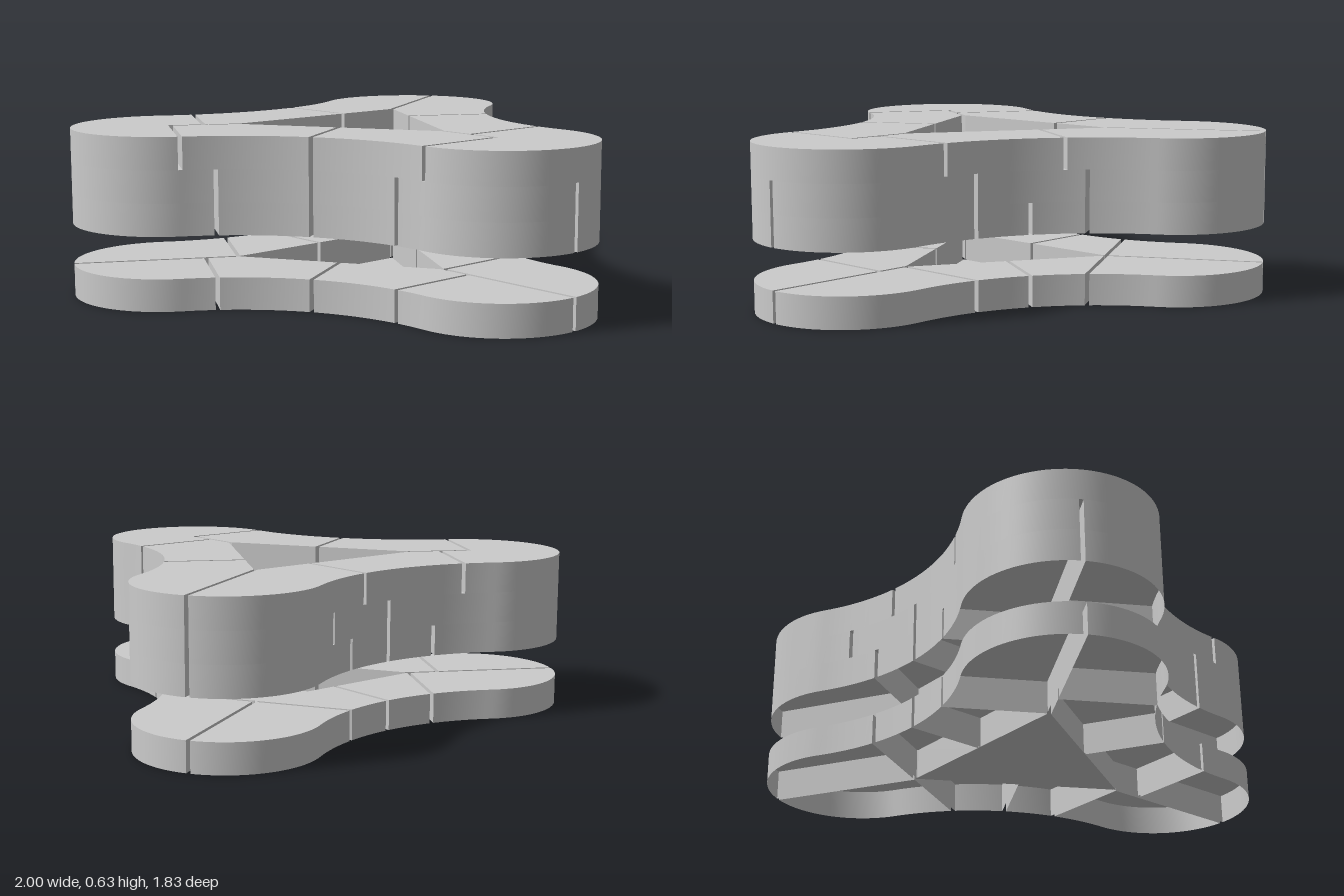
import * as THREE from 'three';
import { toCreasedNormals } from 'three/addons/utils/BufferGeometryUtils.js';

const CZ = 0.184;          // z of the three-fold centre
const LOBE = 0.737;        // distance of each lobe centre
const LOBE_R = 0.36;
const APEX = 0.474;        // corner distance of the middle triangle
const VALLEY = 0.55;       // nearest distance of the concave sides
const GAP = 0.016;
const H = 0.12;            // height of one layer
const C30 = Math.sqrt(3) / 2;

const material = new THREE.MeshStandardMaterial({ color: 0xcccccc, side: THREE.DoubleSide });

// Each third is drawn in a local (u, r) frame: u along the concave side, r outwards.
const frames = {
  front: ([u, r]) => [u, CZ + r],
  right: ([u, r]) => [r * C30 + u / 2, CZ - r / 2 + u * C30],
  left: ([u, r]) => [-r * C30 - u / 2, CZ - r / 2 + u * C30],
};

// Outline of one third: half a lobe, the concave side, half a lobe, the triangle edge
function thirdOutline() {
  const lx = LOBE * C30, lr = LOBE / 2;
  const k = VALLEY - LOBE_R;
  const D = (lx * lx + lr * lr - k * k) / (2 * (lr - k));
  const R = D - VALLEY;
  const t = Math.atan2(D - lr, -lx);
  const half = [];
  const sweep = Math.atan2(lx, D - lr);
  for (let i = 1; i <= 20; i++) {
    const a = (sweep * i) / 20;
    half.push([R * Math.sin(a), D - R * Math.cos(a)]);
  }
  for (let i = 1; i <= 24; i++) {
    const a = t + ((Math.PI / 6 - t) * i) / 24;
    half.push([lx + LOBE_R * Math.cos(a), lr + LOBE_R * Math.sin(a)]);
  }
  const mirrored = half.map(([u, r]) => [-u, r]).reverse();
  return [...mirrored, [0, VALLEY], ...half, [APEX * C30, APEX / 2], [-APEX * C30, APEX / 2]];
}

// Keep the part of a polygon where n.p >= d
function clip(poly, [nu, nr], d) {
  const out = [];
  const f = (p) => p[0] * nu + p[1] * nr - d;
  poly.forEach((a, i) => {
    const b = poly[(i + 1) % poly.length];
    const fa = f(a), fb = f(b);
    if (fa >= 0) out.push(a);
    if (fa * fb < 0) {
      const s = fa / (fa - fb);
      out.push([a[0] + (b[0] - a[0]) * s, a[1] + (b[1] - a[1]) * s]);
    }
  });
  return out;
}

// Cuts: across the lobe at the -u end, across the lobe at the +u end, or square to the side
const minus = (d) => ({ n: [C30, -0.5], d: -d });
const plus = (d) => ({ n: [C30, 0.5], d });
const at = (u) => ({ n: [1, 0], d: u });

const OUTLINE = thirdOutline();
// The same third, set back from its neighbours by half a gap
const SPACED = clip(clip(OUTLINE, [-0.5, C30], GAP / 2), [0.5, C30], GAP / 2);

function splitThird(cuts) {
  const pieces = [];
  for (let i = 0; i <= cuts.length; i++) {
    let p = SPACED;
    if (i > 0) p = clip(p, cuts[i - 1].n, cuts[i - 1].d + GAP / 2);
    if (i < cuts.length) p = clip(p, cuts[i].n.map((v) => -v), -cuts[i].d + GAP / 2);
    pieces.push(p);
  }
  return pieces;
}

// Hollow block, open underneath
function block(points, y, name) {
  const pts = points.map(([x, z]) => new THREE.Vector2(x, z));
  if (THREE.ShapeUtils.isClockWise(pts)) pts.reverse();
  const pos = [];
  const put = (p, h) => pos.push(p.x, h, p.y);
  for (const [a, b, c] of THREE.ShapeUtils.triangulateShape(pts, [])) {
    put(pts[a], y + H); put(pts[c], y + H); put(pts[b], y + H);
  }
  pts.forEach((a, i) => {
    const b = pts[(i + 1) % pts.length];
    put(a, y); put(a, y + H); put(b, y);
    put(b, y); put(a, y + H); put(b, y + H);
  });
  const g = new THREE.BufferGeometry();
  g.setAttribute('position', new THREE.Float32BufferAttribute(pos, 3));
  const mesh = new THREE.Mesh(toCreasedNormals(g, 0.5), material);
  mesh.name = name;
  return mesh;
}

// Thin triangular panel at the bottom of a layer
function floorPanel(y) {
  const s = new THREE.Shape([0, 1, 2].map((i) => {
    const a = Math.PI / 2 + (i * Math.PI * 2) / 3;
    return new THREE.Vector2(APEX * Math.cos(a), APEX * Math.sin(a) - CZ);
  }));
  const mesh = new THREE.Mesh(new THREE.ShapeGeometry(s).rotateX(-Math.PI / 2), material);
  mesh.position.y = y;
  mesh.name = 'floorPanel';
  return mesh;
}

// Cap over a whole front lobe, longer on the side half than on the front half
function lobeCap(side, dSide, dFront) {
  const a = clip(OUTLINE, [C30, 0.5], dSide + GAP / 2).map(frames[side]);
  const sign = side === 'right' ? 1 : -1;
  const b = clip(OUTLINE, [C30, 0.5], dFront + GAP / 2)
    .map(([u, r]) => frames.front([sign * u, r]));
  const onAxis = (d) => {
    const e = d + GAP / 2;
    return frames[side]([e * C30 - GAP / 4, e / 2 + (C30 * GAP) / 2]);
  };
  return [...a.slice(0, -1), ...b.slice(0, -2).reverse(), onAxis(dFront), onAxis(dSide)];
}

export function createModel() {
  const model = new THREE.Group();
  model.name = 'threeLobedStack';

  const evenSide = [minus(APEX), at(0), plus(APEX)];
  const even = { front: [minus(0.6), at(0), plus(0.6)], right: evenSide, left: evenSide };
  const layers = [
    { name: 'baseLayer', y: 0, cuts: even },
    { name: 'lowerLayer', y: 0.275, cuts: even },
    {
      name: 'middleLayer', y: 0.395,
      cuts: { front: even.front, right: [minus(APEX), plus(APEX)], left: [minus(0.6), at(0)] },
    },
    {
      name: 'topLayer', y: 0.515, capped: true,
      cuts: {
        front: [minus(0.725), at(0), plus(0.725)],
        right: [at(-0.133), plus(0.6)],
        left: [at(-0.133), plus(0.6)],
      },
    },
  ];

  for (const { name, y, cuts, capped } of layers) {
    const layer = new THREE.Group();
    layer.name = name;
    for (const side of Object.keys(frames)) {
      let pieces = splitThird(cuts[side]);
      // Lobe ends of the capped layer are made as single caps below
      if (capped) pieces = pieces.slice(side === 'front' ? 1 : 0, -1);
      for (const p of pieces) layer.add(block(p.map(frames[side]), y, side + 'Block'));
    }
    if (capped) {
      for (const side of ['right', 'left']) {
        layer.add(block(lobeCap(side, 0.6, 0.725), y, side + 'LobeCap'));
      }
    }
    layer.add(floorPanel(y));
    model.add(layer);
  }
  return model;
}
